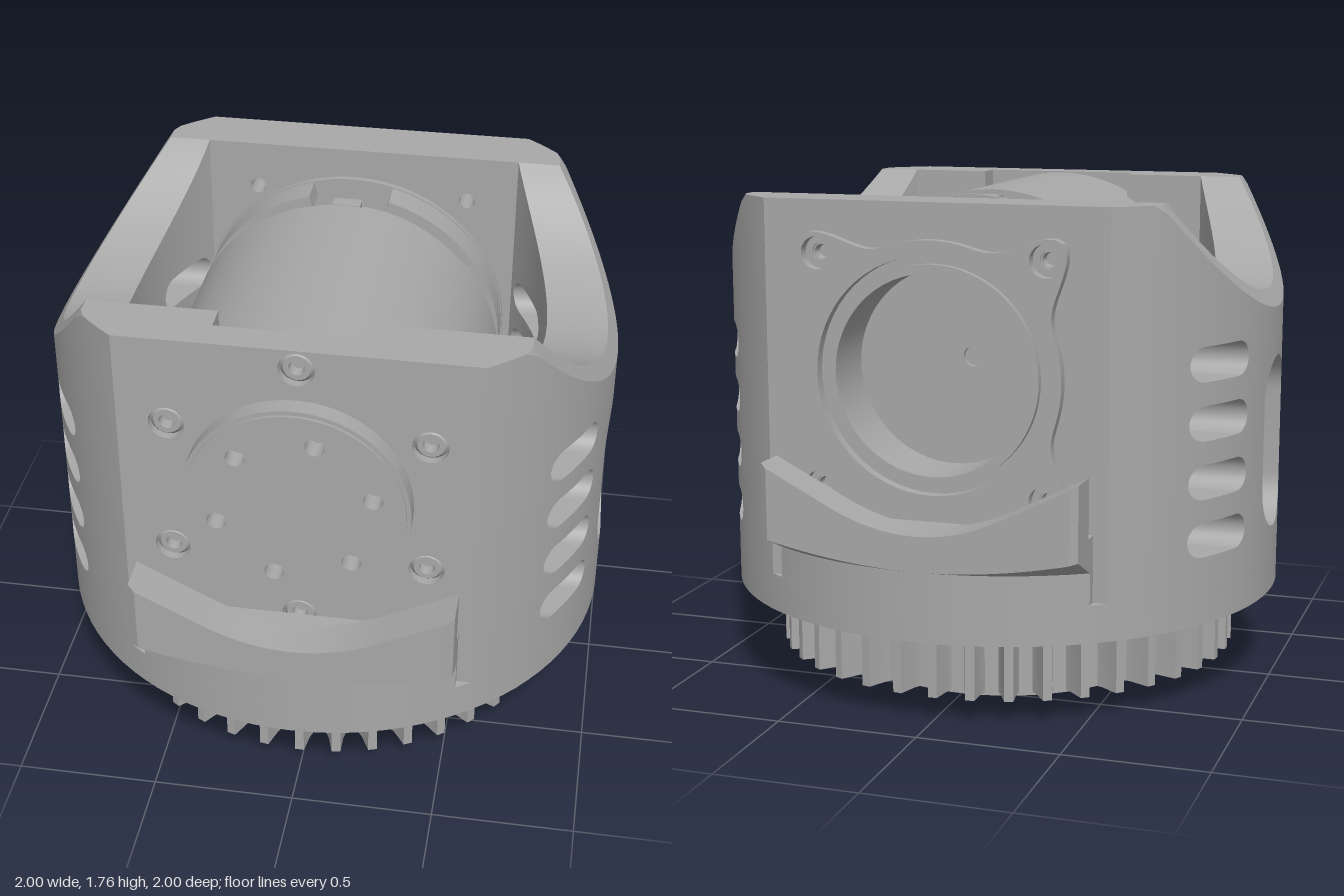
import * as THREE from 'three';
import { toCreasedNormals } from 'three/addons/utils/BufferGeometryUtils.js';

const CY = 1.19;      // height of the motor axis
const TOP = 1.76;     // top of the housing
const FLOOR = 0.46;   // top of the round base
const WALL_X = 0.58;  // where the curved walls meet the flat plates

export function createModel() {
  const model = new THREE.Group();
  const grey = new THREE.MeshStandardMaterial({ color: 0xa8a8a8 });
  grey.name = 'machined grey';

  const add = (name, geometry, parent = model) => {
    const mesh = new THREE.Mesh(toCreasedNormals(geometry.index ? geometry.toNonIndexed() : geometry, 0.5), grey);
    mesh.name = name;
    parent.add(mesh);
    return mesh;
  };
  const circle = (x, y, r) => new THREE.Path().absarc(x, y, r, 0, Math.PI * 2, true);
  const disc = (r, y = 0) => new THREE.Shape().absarc(0, y, r, 0, Math.PI * 2, false);
  const polygon = pts => new THREE.Shape(pts.map(p => new THREE.Vector2(...p)));
  const extrude = (shape, z0, z1, segments = 32) =>
    new THREE.ExtrudeGeometry(shape, { depth: z1 - z0, bevelEnabled: false, curveSegments: segments }).translate(0, 0, z0);
  const around = (n, r, start, y = 0) => Array.from({ length: n }, (_, i) => {
    const a = start + (i * Math.PI * 2) / n;
    return [r * Math.cos(a), y + r * Math.sin(a), a];
  });
  const fromTriangles = list => new THREE.BufferGeometry()
    .setAttribute('position', new THREE.Float32BufferAttribute(list.flat(), 3));

  // Turntable base: stacked rings sharing a bore and eight bolt holes
  const layer = (name, shape, y0, y1) => {
    shape.holes.push(circle(0, 0, 0.4));
    around(8, 0.47, Math.PI / 2).forEach(([x, y]) => shape.holes.push(circle(x, y, 0.02)));
    add(name, extrude(shape, y0, y1, 48).rotateX(-Math.PI / 2));
  };
  const teeth = [];
  const pitch = (Math.PI * 2) / 40;
  for (let i = 0; i < 40; i++) {
    for (const [t, r] of [[-0.3, 0.745], [-0.22, 0.77], [-0.12, 0.84], [0.12, 0.84], [0.22, 0.77], [0.3, 0.745]]) {
      const a = (i + t) * pitch;
      teeth.push([r * Math.cos(a), r * Math.sin(a)]);
    }
  }
  layer('baseFlange', disc(0.54), 0, 0.085);
  layer('gear', polygon(teeth), 0.085, 0.285);
  layer('baseNeck', disc(0.7), 0.285, 0.33);
  layer('housingFloor', disc(1), 0.33, FLOOR);

  // Curved side wall: columns along z, with slots, saddle cut and chamfer
  const slots = [{ z: 0, y: 0.875, hw: 0.16, hh: 0.31 }];
  for (const z of [-0.44, 0.44]) {
    for (let i = 0; i < 4; i++) slots.push({ z, y: 0.625 + 0.2 * i, hw: 0.14, hh: 0.06 });
  }
  const saddle = z => (Math.abs(z) < 0.6 ? Math.min(TOP, 2.12 - Math.sqrt(0.49 - z * z)) : TOP);
  const inner = z => (Math.abs(z) < 0.6 ? 0.745 - 1.17 + Math.sqrt(1.17 * 1.17 - z * z) : WALL_X);
  const outer = (z, y) => Math.min(Math.sqrt(1 - z * z), 0.73 + (TOP - y) * 0.675);
  const chamferY = z => Math.min(saddle(z), TOP - (Math.sqrt(1 - z * z) - 0.73) / 0.675);
  const halfHeight = (s, z) => {
    const r = Math.min(s.hw, s.hh);
    const d = Math.max(0, Math.abs(z - s.z) - (s.hw - r));
    return s.hh - r + Math.sqrt(Math.max(0, r * r - d * d));
  };
  const tris = [];
  const quad = (a, b, c, d) => tris.push(...a, ...b, ...c, ...a, ...c, ...d);
  const out = (z, y) => [outer(z, y), y, z];
  const inn = (z, y) => [inner(z), y, z];
  const ledge = (z0, ya, z1, yb, up) => {
    const q = [inn(z1, yb), out(z1, yb), out(z0, ya), inn(z0, ya)];
    quad(...(up ? q : q.reverse()));
  };
  const jamb = (z, y0, y1, facing) => {
    const q = [inn(z, y0), out(z, y0), out(z, y1), inn(z, y1)];
    quad(...(facing > 0 ? q : q.reverse()));
  };
  const marks = [-0.8, -0.6, -0.58, -0.3, -0.16, 0.16, 0.3, 0.58, 0.6, 0.8];
  for (let m = 0; m < marks.length - 1; m++) {
    const [s, e] = [marks[m], marks[m + 1]];
    const n = e - s > 0.25 ? 24 : e - s > 0.1 ? 8 : 1;
    const cuts = slots.filter(c => c.z > s && c.z < e);
    const edges = z => [() => FLOOR, ...cuts.flatMap(c => [() => c.y - halfHeight(c, z), () => c.y + halfHeight(c, z)]),
      () => saddle(z)].map(f => f());
    const at = i => s + (e - s) * (1 - Math.cos((Math.PI * i) / n)) / 2;
    for (let i = 0; i < n; i++) {
      const [z0, z1] = [at(i), at(i + 1)];
      const [A, B] = [edges(z0), edges(z1)];
      for (let k = 0; k < A.length; k += 2) {
        const last = k === A.length - 2;
        const [a0, a1, b0, b1] = [A[k], A[k + 1], B[k], B[k + 1]];
        const [am, bm] = last ? [chamferY(z0), chamferY(z1)] : [a1, b1];
        quad(out(z1, b0), out(z0, a0), out(z0, am), out(z1, bm));
        if (last) quad(out(z1, bm), out(z0, am), out(z0, a1), out(z1, b1));
        quad(inn(z0, a0), inn(z1, b0), inn(z1, b1), inn(z0, a1));
        ledge(z0, a1, z1, b1, true);
        if (k > 0) ledge(z0, a0, z1, b0, false);
      }
    }
  }
  jamb(0.16, 0.725, 1.025, -1);
  jamb(-0.16, 0.725, 1.025, 1);
  jamb(0.8, FLOOR, TOP, 1);
  jamb(-0.8, FLOOR, TOP, -1);
  const wall = fromTriangles([tris]);
  add('leftWall', wall);
  add('rightWall', wall.clone().rotateY(Math.PI));

  // Front plate: notched inner layer and drilled outer layer
  const W = WALL_X;
  const notched = polygon([[-W, FLOOR], [W, FLOOR], [W, TOP], [0.29, TOP], [0.29, 1.6], [-0.29, 1.6], [-0.29, TOP], [-W, TOP]]);
  add('frontPlateInner', extrude(notched, 0.6, 0.69));
  const plate = () => polygon([[-W, FLOOR], [W, FLOOR], [W, TOP], [-W, TOP]]);
  const frontPlate = plate();
  const frontScrews = around(6, 0.5, Math.PI / 2, CY);
  frontScrews.forEach(([x, y]) => frontPlate.holes.push(circle(x, y, 0.06)));
  add('frontPlate', extrude(frontPlate, 0.69, 0.8));

  // Recessed socket screws
  const screw = (x, y, z, r, dir) => {
    const profile = [[0, -0.05], [0.4 * r, -0.05], [0.45 * r, -0.012], [0.75 * r, -0.012], [r, -0.03]];
    const g = new THREE.LatheGeometry(profile.map(([a, b]) => new THREE.Vector2(a, b)).reverse(), 20);
    // profile runs inwards, so turn the faces to look along the screw axis
    const idx = g.index.array;
    for (let i = 0; i < idx.length; i += 3) [idx[i], idx[i + 1]] = [idx[i + 1], idx[i]];
    const p = g.attributes.position, t = g.index.array, v = k => new THREE.Vector3().fromBufferAttribute(p, t[k]);
    let ny = 0;
    for (let i = 0; i < t.length; i += 3) ny += v(i + 1).sub(v(i)).cross(v(i + 2).sub(v(i))).y;
    if (ny < 0) for (let i = 0; i < t.length; i += 3) [t[i], t[i + 1]] = [t[i + 1], t[i]];
    add('screw', g.rotateX((dir * Math.PI) / 2).translate(x, y, z));
  };
  frontScrews.forEach(([x, y]) => screw(x, y, 0.8, 0.06, 1));

  // Output disc with six blind holes
  const horn = disc(0.37, CY);
  around(6, 0.27, (75 * Math.PI) / 180, CY).forEach(([x, y]) => horn.holes.push(circle(x, y, 0.033)));
  add('outputDisc', extrude(horn, 0.8, 0.875, 48));
  const rim = disc(0.385, CY);
  rim.holes.push(circle(0, CY, 0.37));
  add('outputDiscRim', extrude(rim, 0.8, 0.865, 48));

  // Back plate with bearing opening, and the raised four-eared bearing cover
  const ears = around(4, 0.56, Math.PI / 4, CY);
  const backPlate = plate();
  backPlate.holes.push(circle(0, CY, 0.34));
  ears.forEach(([x, y]) => backPlate.holes.push(circle(x, y, 0.03)));
  add('backPlate', extrude(backPlate, -0.8, -0.6));
  const cover = polygon(Array.from({ length: 144 }, (_, i) => {
    const a = (i * Math.PI * 2) / 144;
    const d = (a % (Math.PI / 2)) - Math.PI / 4;
    const r = 0.45 + 0.19 * Math.exp(-((d / 0.2) ** 2));
    return [r * Math.cos(a), CY + r * Math.sin(a)];
  }));
  cover.holes.push(circle(0, CY, 0.4));
  ears.forEach(([x, y]) => cover.holes.push(circle(x, y, 0.055)));
  add('bearingCover', extrude(cover, -0.84, -0.8));
  const lip = disc(0.37, CY);
  lip.holes.push(circle(0, CY, 0.34));
  add('bearingLip', extrude(lip, -0.825, -0.8));
  ears.forEach(([x, y]) => screw(x, y, -0.81 + 0.005, 0.055, -1));

  // Scooped guards in front and back, with a conical underside
  const section = x => {
    const ax = Math.abs(x);
    const top = ax < 0.3 ? 0.69 + 0.85 * ax * ax : 0.7665 + 0.51 * (ax - 0.3);
    const under = 0.57 + 0.5 * (Math.hypot(x, 1) - 1);
    const zc = Math.sqrt(1 - x * x);
    const zo = 1 - Math.max(0, ax - 0.53);
    return [[zo, under], [zo, top], [0.855, top], [0.855, 0.69], [0.8, 0.69], [0.8, FLOOR], [zc, FLOOR], [zc, 0.57]];
  };
  const guard = [];
  const N = 44;
  for (let i = 0; i < N; i++) {
    const [x0, x1] = [-0.55 + (1.1 * i) / N, -0.55 + (1.1 * (i + 1)) / N];
    const [A, B] = [section(x0), section(x1)];
    A.forEach(([z, y], k) => {
      const j = (k + 1) % A.length;
      const [a, b] = [[x0, y, z], [x0, A[j][1], A[j][0]]];
      const [c, d] = [[x1, B[j][1], B[j][0]], [x1, B[k][1], B[k][0]]];
      guard.push(...a, ...d, ...c, ...a, ...c, ...b);
    });
  }
  for (const x of [-0.55, 0.55]) {
    const loop = section(x).map(([z, y]) => new THREE.Vector2(z, y));
    for (const f of THREE.ShapeUtils.triangulateShape(loop, [])) {
      const [p, q, r] = f.map(k => loop[k]);
      const area = (q.x - p.x) * (r.y - p.y) - (q.y - p.y) * (r.x - p.x);
      // a positive area in (z, y) faces -x
      const order = (area > 0) === (x < 0) ? [p, q, r] : [p, r, q];
      order.forEach(v => guard.push(x, v.y, v.x));
    }
  }
  const guardShape = fromTriangles([guard]);
  add('frontGuard', guardShape);
  add('backGuard', guardShape.clone().rotateY(Math.PI));

  // Motor: body, grooved collar with lugs, split cap and end plate
  add('motorBody', extrude(disc(0.565, CY), -0.18, 0.69, 48));
  add('motorCollar', extrude(disc(0.52, CY), -0.27, -0.18, 48));
  around(6, 0.525, Math.PI / 2, CY).forEach(([x, y, a]) => {
    add('collarLug', new THREE.BoxGeometry(0.05, 0.1, 0.05).rotateZ(a).translate(x, y, -0.235));
  });
  const gap = 0.26;
  for (const side of [0, Math.PI]) {
    const [s, e] = [side - Math.PI / 2 + gap, side + Math.PI / 2 - gap];
    const half = new THREE.Shape().absarc(0, CY, 0.56, s, e, false).absarc(0, CY, 0.51, e, s, true);
    add('motorCapHalf', extrude(half, -0.385, -0.27, 32));
  }
  const endPlate = disc(0.565, CY);
  endPlate.holes.push(circle(0, CY, 0.035));
  add('motorEndPlate', extrude(endPlate, -0.4, -0.38, 48));

  return model;
}
